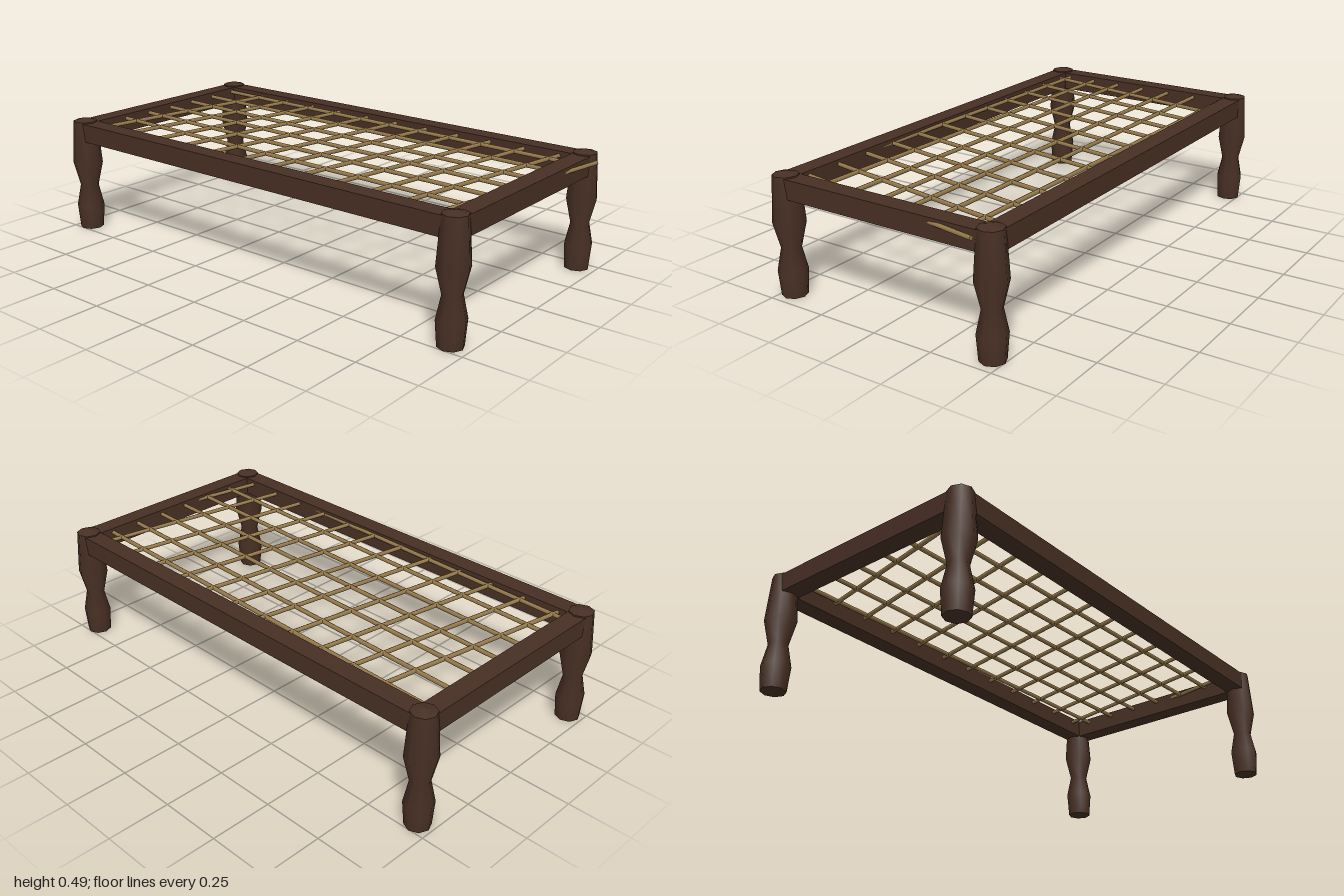
import * as THREE from 'three';

export function createModel() {
  const model = new THREE.Group();
  model.name = 'ropeBed';
  const wood = new THREE.MeshStandardMaterial({ name: 'dark wood', color: 0x472f24 });
  const rope = new THREE.MeshStandardMaterial({ name: 'rope', color: 0x94784a });

  const add = (name, geometry, material, x, y, z) => {
    const mesh = new THREE.Mesh(geometry, material);
    mesh.name = name;
    mesh.position.set(x, y, z);
    model.add(mesh);
    return mesh;
  };

  const xLeft = 0.925, xRight = -0.94, zLeg = 0.455;
  const xMid = (xLeft + xRight) / 2;

  // Turned legs: smooth round the sides, crisp at foot and cap
  const profile = [[0.049, 0], [0.057, 0.1], [0.038, 0.19], [0.062, 0.29], [0.049, 0.475]];
  const side = new THREE.LatheGeometry(profile.map(([r, y]) => new THREE.Vector2(r, y)), 8);
  const cap = new THREE.ConeGeometry(0.049, 0.013, 8, 1, true);
  const foot = new THREE.CircleGeometry(0.049, 8).rotateX(Math.PI / 2);
  for (const [xName, x] of [['Left', xLeft], ['Right', xRight]]) {
    for (const [zName, z] of [['front', zLeg], ['back', -zLeg]]) {
      add(`${zName}${xName}Leg`, side, wood, x, 0, z);
      add(`${zName}${xName}LegCap`, cap, wood, x, 0.4815, z);
      add(`${zName}${xName}LegFoot`, foot, wood, x, 0, z);
    }
  }

  // Square frame rails ending inside the legs
  const longRail = new THREE.BoxGeometry(xLeft - xRight, 0.077, 0.076);
  const endRail = new THREE.BoxGeometry(0.076, 0.077, zLeg * 2);
  add('frontRail', longRail, wood, xMid, 0.4315, zLeg);
  add('backRail', longRail, wood, xMid, 0.4315, -zLeg);
  add('leftRail', endRail, wood, xLeft, 0.4315, 0);
  add('rightRail', endRail, wood, xRight, 0.4315, 0);

  // Slightly slanted rope lattice
  const ropeY = 0.451, ropeR = 0.0085;
  const lengthRope = new THREE.CylinderGeometry(ropeR, ropeR, 1.82, 8).rotateZ(Math.PI / 2);
  for (let i = 0; i < 7; i++) {
    add(`lengthRope${i + 1}`, lengthRope, rope, xMid, ropeY, -0.378 + i * 0.132)
      .rotation.y = -0.0254;
  }
  const crossRope = new THREE.CylinderGeometry(ropeR, ropeR, 0.86, 8).rotateX(Math.PI / 2);
  for (let i = 0; i < 12; i++) {
    add(`crossRope${i + 1}`, crossRope, rope, -0.789 + i * 0.155, ropeY, 0)
      .rotation.y = -0.171;
  }
  return model;
}
